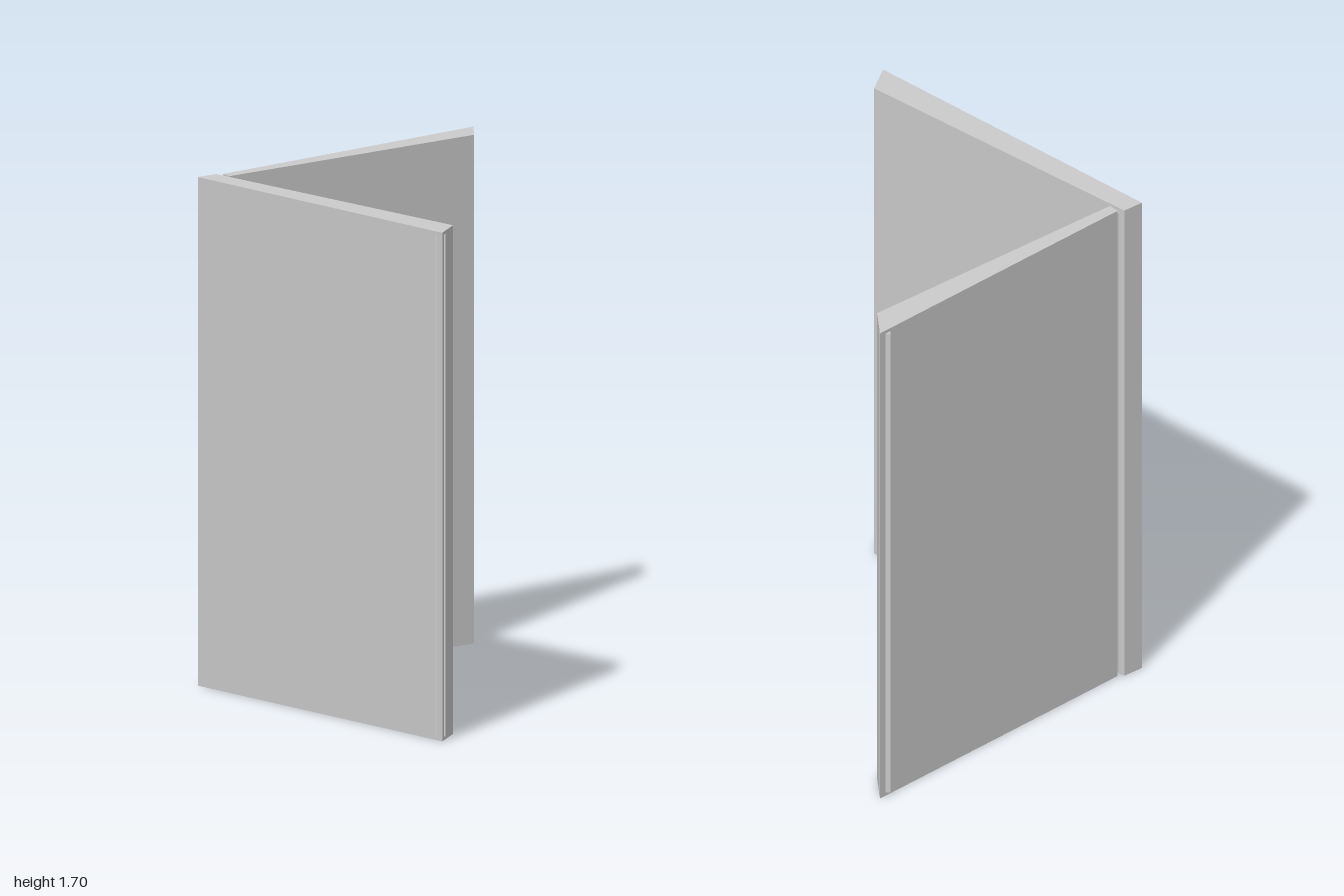
import * as THREE from 'three';

const HEIGHT = 1.7;
const INSET = 0.012;

// Upright prism from a plan outline of [x, z] corners
function prism(name, plan, y0, y1, material) {
  const shape = new THREE.Shape(plan.map(([x, z]) => new THREE.Vector2(x, -z)));
  const geometry = new THREE.ExtrudeGeometry(shape, { depth: y1 - y0, bevelEnabled: false });
  geometry.rotateX(-Math.PI / 2);
  geometry.translate(0, y0, 0);
  const mesh = new THREE.Mesh(geometry, material);
  mesh.name = name;
  return mesh;
}

export function createModel() {
  const group = new THREE.Group();
  group.name = 'foldingScreen';
  const material = new THREE.MeshStandardMaterial({ color: 0xcccccc, flatShading: true });
  const add = (name, plan, inset = 0) =>
    group.add(prism(name, plan, inset, HEIGHT - inset, material));

  // Two tapered panels with slanted free ends
  add('frontPanel', [[-0.442, -0.012], [0.41, 0.997], [0.439, 0.854], [-0.384, -0.071]]);
  add('backPanel', [[-0.362, -0.073], [-0.337, -0.035], [0.43, -0.847], [0.42, -1]]);

  // Slightly shorter strip filling the joint between the panels
  add('hingeStrip', [[-0.367, -0.062], [-0.36, -0.042], [-0.345, -0.025], [-0.335, -0.038], [-0.35, -0.07]], INSET);

  // Slim edge bars let into the free ends
  const bar = (x0, x1, z0, z1) => [[x0, z0], [x0, z1], [x1, z1], [x1, z0]];
  add('frontEdgeBar', bar(0.385, 0.42, 0.94, 0.976), INSET);
  add('backEdgeBar', bar(0.386, 0.424, -0.979, -0.94), INSET);

  return group;
}
